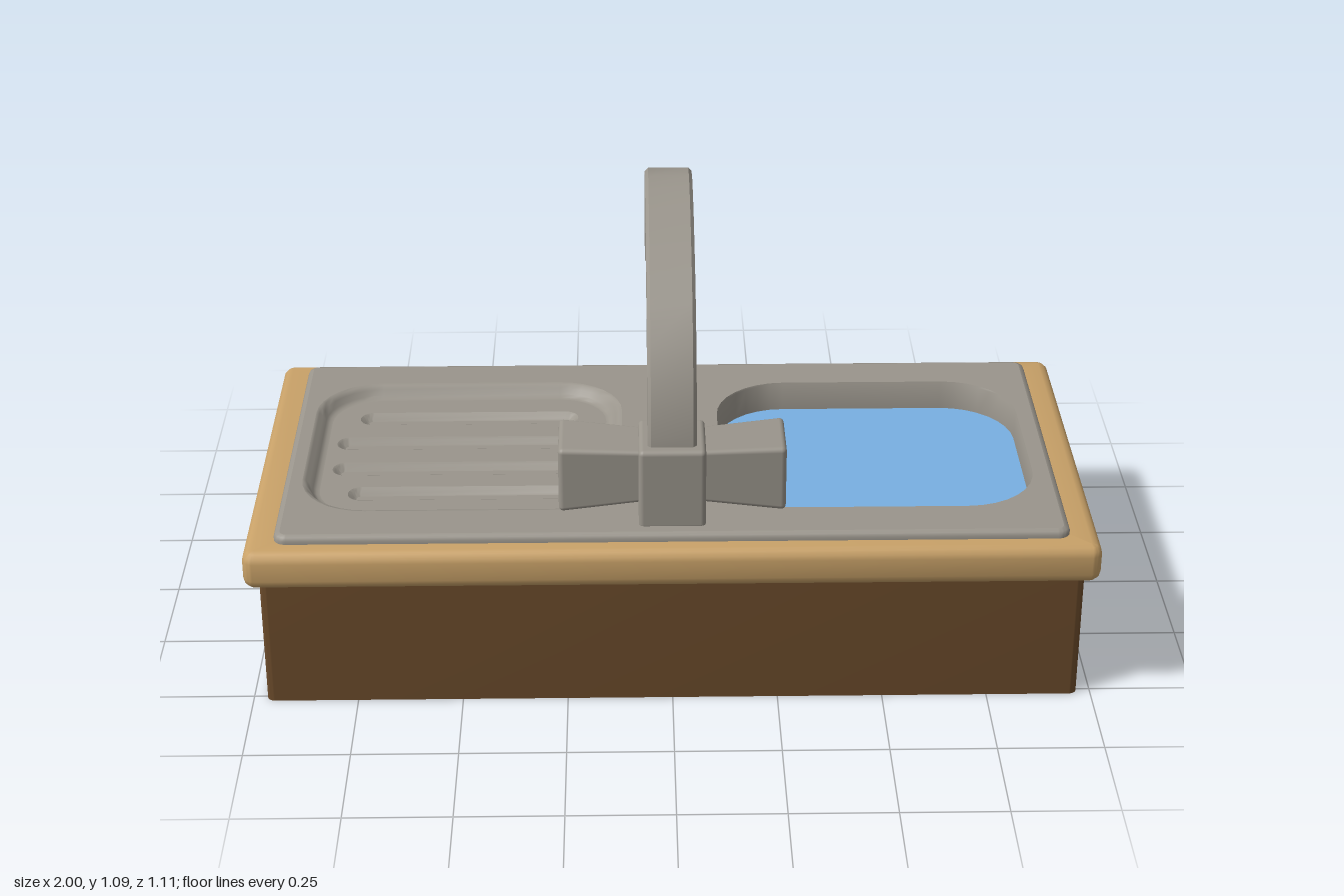
import * as THREE from 'three';
import { toCreasedNormals } from 'three/addons/utils/BufferGeometryUtils.js';
import { RoundedBoxGeometry } from 'three/addons/geometries/RoundedBoxGeometry.js';

const mat = (name, color, side = THREE.FrontSide) => {
  const m = new THREE.MeshStandardMaterial({ color, side });
  m.name = name;
  return m;
};

// Rounded rectangle in the x/z plane, grown or shrunk by `grow`
function roundRect({ x, z, w, d, r }, grow = 0) {
  const pts = [], hw = w / 2 + grow, hd = d / 2 + grow, rad = Math.max(0.002, r + grow);
  [[1, 1], [-1, 1], [-1, -1], [1, -1]].forEach(([sx, sz], q) => {
    for (let i = 0; i <= 8; i++) {
      const a = (q + i / 8) * Math.PI / 2;
      pts.push([x + sx * (hw - rad) + Math.cos(a) * rad, z + sz * (hd - rad) + Math.sin(a) * rad]);
    }
  });
  return pts;
}

// Skin through rounded rectangles; profile is a list of [grow, y]
function loft(rect, profile) {
  const pos = [], idx = [];
  const rings = profile.map(([g]) => roundRect(rect, g));
  const n = rings[0].length;
  rings.forEach((ring, i) => ring.forEach(([x, z]) => pos.push(x, profile[i][1], z)));
  for (let i = 0; i < rings.length - 1; i++) {
    for (let j = 0; j < n; j++) {
      const a = i * n + j, b = i * n + (j + 1) % n;
      idx.push(a, a + n, b, b, a + n, b + n);
    }
  }
  const g = new THREE.BufferGeometry();
  g.setAttribute('position', new THREE.Float32BufferAttribute(pos, 3));
  g.setIndex(idx);
  return toCreasedNormals(g, 0.8);
}

// Flat horizontal sheet with openings
function sheet(rect, grow, y, holes = []) {
  const toPts = (r, g) => roundRect(r, g).map(([x, z]) => new THREE.Vector2(x, -z));
  const shape = new THREE.Shape(toPts(rect, grow));
  holes.forEach(h => shape.holes.push(new THREE.Path(toPts(h, 0))));
  return new THREE.ShapeGeometry(shape).rotateX(-Math.PI / 2).translate(0, y, 0);
}

export function createModel() {
  const root = new THREE.Group();
  root.name = 'kitchenSink';
  const steel = mat('steel', 0x9a958c, THREE.DoubleSide);
  const wood = mat('darkWood', 0x6b4b2b, THREE.DoubleSide);
  const top = mat('lightWood', 0xc8a168);
  const water = mat('water', 0x78b0e2, THREE.DoubleSide);
  const dark = mat('drainHole', 0x1c1c1c, THREE.DoubleSide);
  const add = (name, geo, m, parent = root) => {
    const mesh = new THREE.Mesh(geo, m);
    mesh.name = name;
    parent.add(mesh);
    return mesh;
  };

  // Open cabinet and wooden worktop frame
  add('cabinet', loft({ x: 0, z: 0.0575, w: 1.935, d: 0.925, r: 0.018 }, [[0, 0], [0, 0.34]]), wood);
  add('worktop', loft({ x: 0, z: 0.0575, w: 2, d: 0.999, r: 0.03 }, [
    [-0.08, 0.325], [-0.025, 0.325], [-0.012, 0.329], [-0.003, 0.338], [0, 0.35],
    [0, 0.395], [-0.003, 0.407], [-0.012, 0.416], [-0.025, 0.42], [-0.08, 0.42], [-0.08, 0.325],
  ]), top);

  // Steel top with basin and drainer openings
  const plate = { x: 0, z: 0.056, w: 1.86, d: 0.9, r: 0.03 };
  const basin = { x: 0.499, z: 0.055, w: 0.755, d: 0.655, r: 0.175 };
  const tray = { x: -0.502, z: 0.05, w: 0.77, d: 0.67, r: 0.16 };
  const slots = [[-0.145, 0.55], [-0.013, 0.645], [0.12, 0.645], [0.245, 0.55]]
    .map(([z, w]) => ({ x: -0.503, z, w, d: 0.066, r: 0.032 }));
  const sink = new THREE.Group();
  sink.name = 'sink';
  root.add(sink);
  add('sinkEdge', loft(plate, [[0, 0.418], [0, 0.428], [-0.004, 0.436], [-0.014, 0.44]]), steel, sink);
  add('sinkTop', sheet(plate, -0.014, 0.44, [basin, tray]), steel, sink);
  add('basinWall', loft(basin, [
    [0, 0.44], [-0.002, 0.436], [-0.003, 0.36], [-0.008, 0.27], [-0.018, 0.24], [-0.035, 0.225], [-0.06, 0.22],
  ]), steel, sink);
  add('basinFloor', sheet(basin, -0.06, 0.22), steel, sink);
  add('water', sheet(basin, -0.0025, 0.365), water);
  add('drainerWall', loft(tray, [
    [0, 0.44], [-0.008, 0.438], [-0.016, 0.43], [-0.024, 0.417], [-0.032, 0.411], [-0.04, 0.41],
  ]), steel, sink);
  add('drainerFloor', sheet(tray, -0.04, 0.41, slots), steel, sink);
  slots.forEach(s => {
    add('drainerGroove', loft(s, [[0, 0.41], [-0.006, 0.407], [-0.013, 0.398], [-0.02, 0.395]]), steel, sink);
    add('drainerGrooveFloor', sheet(s, -0.02, 0.395), steel, sink);
  });

  // Drain under the basin
  const drain = new THREE.Group();
  drain.name = 'drain';
  drain.position.set(0.5, 0.216, 0.22);
  root.add(drain);
  add('drainDisc', new THREE.CylinderGeometry(0.09, 0.085, 0.012, 32), steel, drain);
  add('drainRim', new THREE.TorusGeometry(0.055, 0.005, 8, 32).rotateX(Math.PI / 2).translate(0, -0.006, 0), steel, drain);
  for (let i = 0; i < 4; i++) {
    const a = i * Math.PI / 2;
    add('drainHole', new THREE.CylinderGeometry(0.012, 0.012, 0.004, 12)
      .translate(Math.cos(a) * 0.026, -0.006, Math.sin(a) * 0.026), dark, drain);
  }

  // Doors with bar handles at the back, and the two tap handles
  for (const s of [-1, 1]) {
    const door = add('door', new RoundedBoxGeometry(0.93, 0.29, 0.05, 3, 0.016), wood);
    door.position.set(s * 0.472, 0.175, -0.407);
    const handle = new THREE.Group();
    handle.name = 'doorHandle';
    handle.position.set(s * 0.105, 0.175, 0);
    root.add(handle);
    add('handleBar', toCreasedNormals(new THREE.CylinderGeometry(0.028, 0.028, 0.27, 20), 0.8), steel, handle)
      .position.z = -0.528;
    for (const y of [-0.08, 0.08]) {
      add('handleStem', new RoundedBoxGeometry(0.026, 0.04, 0.1, 2, 0.006), steel, handle)
        .position.set(0, y, -0.475);
    }
    const knob = new RoundedBoxGeometry(0.2, 0.165, 0.165, 3, 0.012);
    const p = knob.attributes.position;
    for (let i = 0; i < p.count; i++) {
      const k = 0.9 + s * p.getX(i);
      p.setXYZ(i, p.getX(i), p.getY(i) * k, p.getZ(i) * k);
    }
    add('tapHandle', knob, steel).position.set(s * 0.165, 0.557, 0.379);
  }

  // Tap body
  add('tapBody', new RoundedBoxGeometry(0.157, 0.205, 0.17, 3, 0.012), steel).position.set(0, 0.533, 0.383);

  // Curved spout: side outline as [z, y], outer edge then inner edge
  const outline = [
    [0.445, 0.62], [0.442, 0.66], [0.418, 0.755], [0.365, 0.858], [0.295, 0.933], [0.225, 0.985], [0.15, 1.025],
    [0.07, 1.062], [-0.01, 1.086], [-0.085, 1.094], [-0.16, 1.085], [-0.21, 1.054], [-0.24, 0.998], [-0.247, 0.94],
    [-0.245, 0.837], [-0.138, 0.837], [-0.138, 0.93], [-0.13, 0.965], [-0.113, 0.988], [-0.08, 0.997],
    [-0.04, 0.99], [0.03, 0.967], [0.1, 0.938], [0.165, 0.905], [0.23, 0.853], [0.28, 0.8], [0.312, 0.73], [0.325, 0.62],
  ];
  const spout = new THREE.ExtrudeGeometry(new THREE.Shape(outline.map(([z, y]) => new THREE.Vector2(-z, y))), {
    depth: 0.098, bevelThickness: 0.008, bevelSize: 0.008, bevelOffset: -0.008, bevelSegments: 1,
  }).rotateY(Math.PI / 2).translate(-0.049, 0, 0);
  add('spout', toCreasedNormals(spout, 0.6), steel);
  add('nozzle', toCreasedNormals(new THREE.CylinderGeometry(0.04, 0.038, 0.04, 20), 0.8), steel)
    .position.set(0, 0.83, -0.19);
  return root;
}
